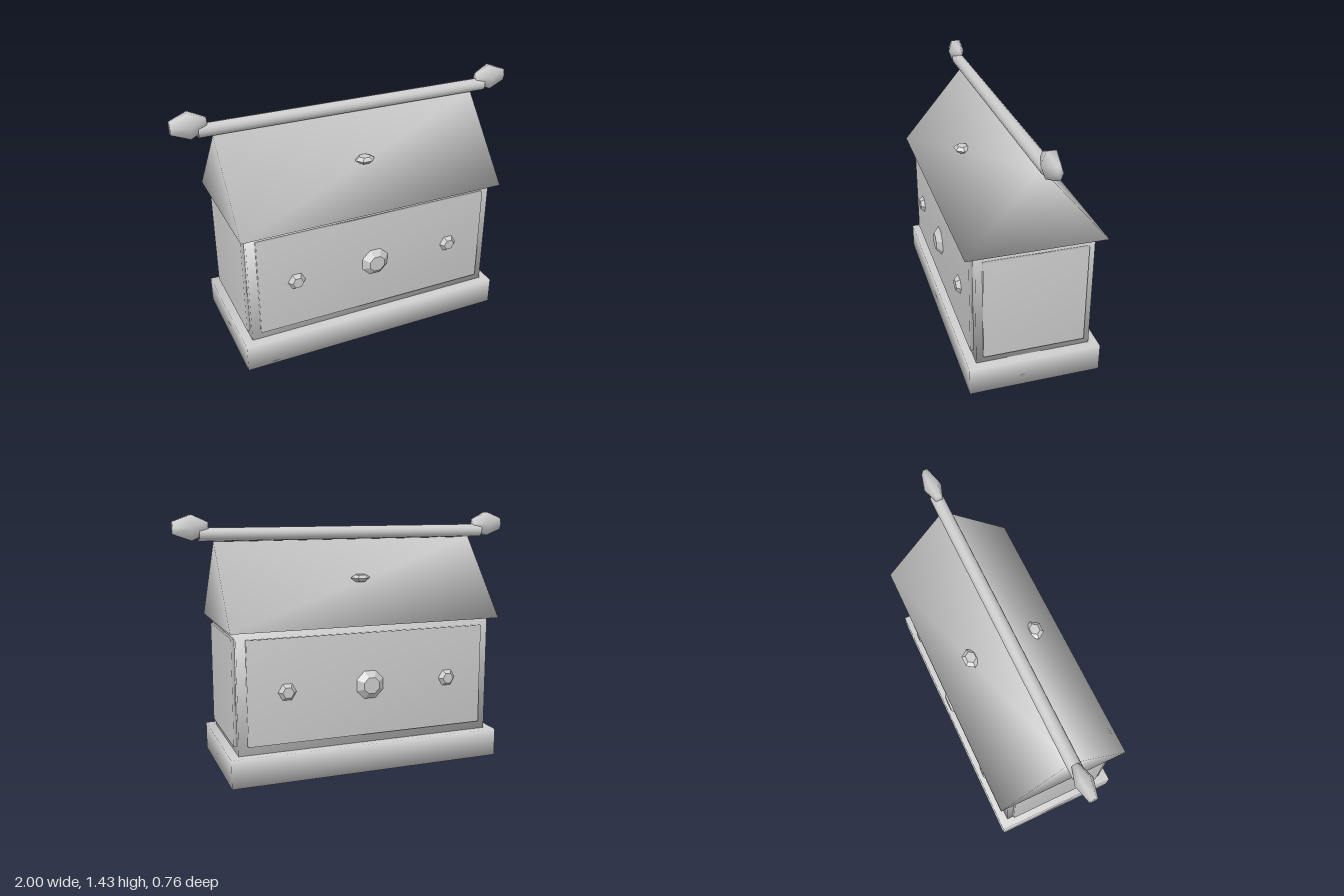
import * as THREE from 'three';
import { mergeVertices } from 'three/addons/utils/BufferGeometryUtils.js';

const stone = new THREE.MeshStandardMaterial({ color: 0xcccccc });
stone.name = 'pale grey';

// Shared normals across edges, for the softly shaded solids
function soft(geometry) {
  geometry.deleteAttribute('uv');
  geometry.deleteAttribute('normal');
  const merged = mergeVertices(geometry, 1e-4);
  merged.computeVertexNormals();
  return merged;
}

// One normal per facet, for the cut gems
function faceted(geometry) {
  const flat = geometry.toNonIndexed();
  flat.computeVertexNormals();
  return flat;
}

export function createModel() {
  const model = new THREE.Group();
  model.name = 'reliquary';

  const add = (name, geometry, x = 0, y = 0, z = 0) => {
    const mesh = new THREE.Mesh(geometry, stone);
    mesh.name = name;
    mesh.position.set(x, y, z);
    model.add(mesh);
    return mesh;
  };
  const box = (name, w, y0, y1, d, x = 0, z = 0) =>
    add(name, soft(new THREE.BoxGeometry(w, y1 - y0, d)), x, (y0 + y1) / 2, z);

  // Plinth and chest
  box('base', 1.585, 0, 0.16, 0.74);
  box('body', 1.485, 0.16, 0.835, 0.64);

  // Gabled roof, a triangular prism along x
  const gable = new THREE.Shape([
    new THREE.Vector2(-0.38, 0.832),
    new THREE.Vector2(0.38, 0.832),
    new THREE.Vector2(0, 1.28),
  ]);
  const roof = new THREE.ExtrudeGeometry(gable, { depth: 1.565, bevelEnabled: false });
  roof.translate(0, 0, -1.565 / 2).rotateY(Math.PI / 2);
  add('roof', soft(roof));

  // Ridge rod
  const rod = new THREE.CylinderGeometry(0.037, 0.037, 1.72, 12).rotateZ(Math.PI / 2);
  add('ridgeRod', soft(rod), 0, 1.318, 0);

  // Six-sided finial pointing along +x
  const finialProfile = [[0, -0.09], [0.42, -0.09], [1, 0], [0.48, 0.1], [0, 0.1]]
    .map(([r, h]) => new THREE.Vector2(r, h));

  for (const side of [1, -1]) {
    const label = side > 0 ? 'left' : 'right';
    box(label + 'Panel', 0.03, 0.205, 0.79, 0.566, side * 0.745);

    const finial = new THREE.LatheGeometry(finialProfile, 6);
    finial.rotateZ(-Math.PI / 2).scale(1, 0.081, 0.05);
    if (side < 0) finial.rotateY(Math.PI);
    add(label + 'Finial', soft(finial), side * 0.9, 1.357, 0);
  }

  // Cut gem: a tapered prism standing out from the long faces
  const gem = (rOuter, rInner, depth, sides, turn) =>
    faceted(new THREE.CylinderGeometry(rInner, rOuter, depth, sides).rotateY(turn).rotateX(Math.PI / 2));

  for (const side of [1, -1]) {
    const label = side > 0 ? 'front' : 'back';
    box(label + 'Panel', 1.385, 0.21, 0.787, 0.03, 0, side * 0.325);

    // Gems on the panel
    const face = new THREE.Group();
    face.name = label + 'Gems';
    if (side < 0) face.rotation.y = Math.PI;
    const put = (name, geometry, x, z) => {
      const mesh = new THREE.Mesh(geometry, stone);
      mesh.name = name;
      mesh.position.set(x, 0.495, z);
      face.add(mesh);
    };
    put('largeGem', gem(0.088, 0.048, 0.034, 8, Math.PI / 8), 0, 0.354);
    for (const x of [-0.475, 0.475]) {
      put('smallGem', gem(0.053, 0.032, 0.026, 6, Math.PI / 6), x, 0.351);
    }
    model.add(face);

    // Gem set upright into the roof slope
    const profile = [[0, -0.021], [0.03, -0.021], [0.058, 0.001], [0.034, 0.018], [0, 0.018]]
      .map(([r, h]) => new THREE.Vector2(r, h));
    const roofGem = new THREE.LatheGeometry(profile, 6).rotateY(Math.PI / 6).scale(1, 1, 0.85);
    add(label + 'RoofGem', faceted(roofGem), 0, 1.074, side * 0.192);
  }

  return model;
}
